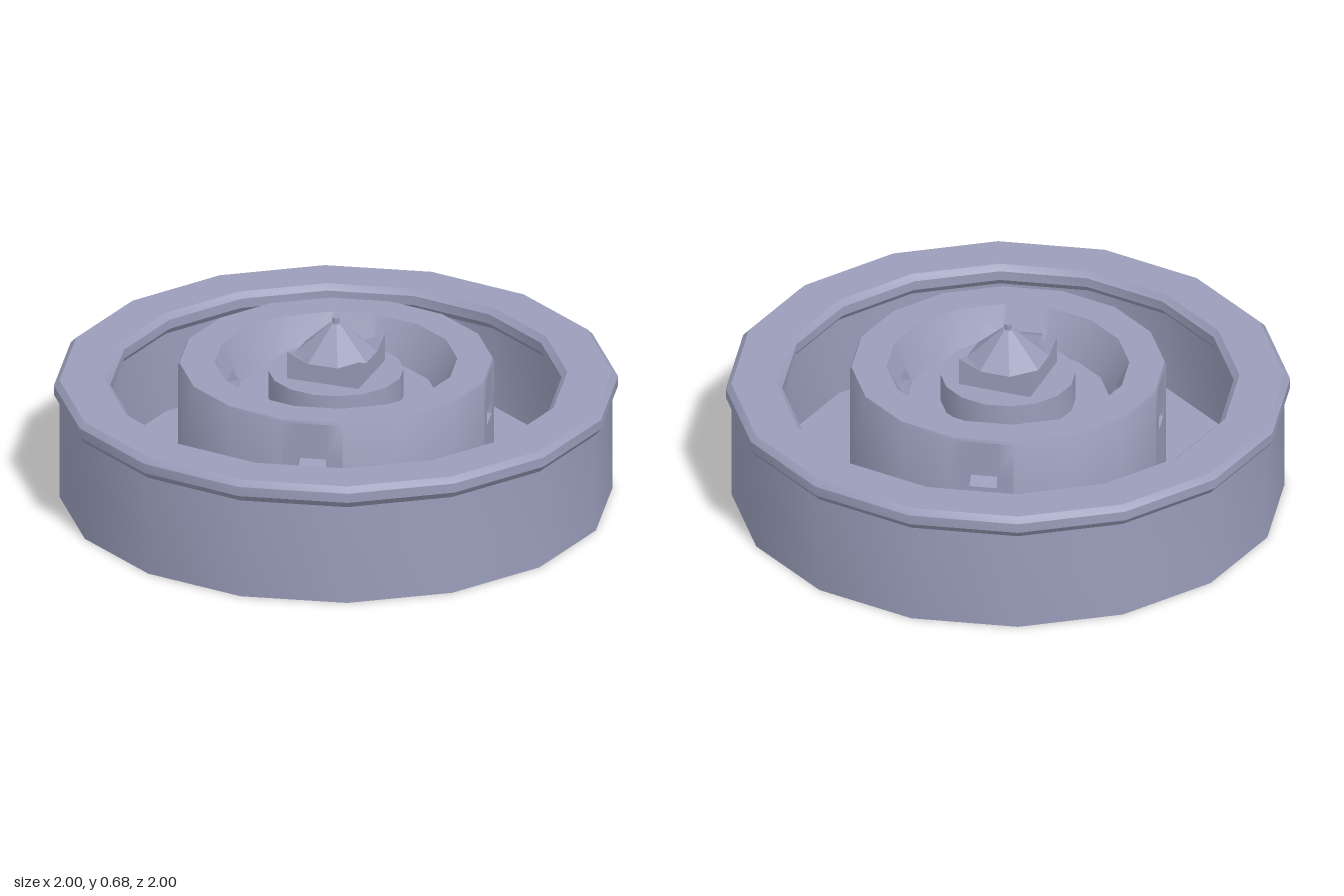
import * as THREE from 'three';
import { toCreasedNormals } from 'three/addons/utils/BufferGeometryUtils.js';

const SIDES = 16;
const stone = new THREE.MeshStandardMaterial({ color: 0x9a9dba });
stone.name = 'stone';

function add(group, name, geometry, y = 0) {
  const mesh = new THREE.Mesh(geometry, stone);
  mesh.name = name;
  mesh.position.y = y;
  group.add(mesh);
  return mesh;
}

function fromTriangles(list) {
  const geometry = new THREE.BufferGeometry().setFromPoints(list);
  geometry.computeVertexNormals();
  return geometry;
}

// Lathe with sharp profile edges and softly shaded sides
function lathe(profile) {
  const points = profile.map(([r, y]) => new THREE.Vector2(r, y));
  return toCreasedNormals(new THREE.LatheGeometry(points, SIDES), 0.6);
}

// Inner ring: lathed panel by panel, with four sloping spouts cut through it
function ringGeometry() {
  const profile = [[0.56, 0.07], [0.56, 0.5], [0.555, 0.51], [0.43, 0.51], [0.36, 0.37], [0.2, 0.37]];
  const openings = {
    0: { u: [0.27, 0.73], v: [0.58, 0.69] },  // outer wall
    3: { u: [0.1, 0.9], v: [0.6, 0.89] },     // bowl slope
  };
  const tris = [];
  const quad = (a, b, c, d) => tris.push(a, b, c, a, c, d);
  const at = ([r, y], i) => {
    const a = (i / SIDES) * Math.PI * 2;
    return new THREE.Vector3(r * Math.sin(a), y, r * Math.cos(a));
  };

  for (let i = 0; i < SIDES; i++) {
    const point = (s, u, v) => {
      const low = at(profile[s], i).lerp(at(profile[s], i + 1), u);
      const high = at(profile[s + 1], i).lerp(at(profile[s + 1], i + 1), u);
      return low.lerp(high, v);
    };
    for (let s = 0; s < profile.length - 1; s++) {
      const hole = i % 4 === 0 && openings[s];
      const us = hole ? [0, ...hole.u, 1] : [0, 1];
      const vs = hole ? [0, ...hole.v, 1] : [0, 1];
      for (let j = 0; j < us.length - 1; j++) {
        for (let k = 0; k < vs.length - 1; k++) {
          if (hole && j === 1 && k === 1) continue;
          quad(point(s, us[j], vs[k]), point(s, us[j + 1], vs[k]),
            point(s, us[j + 1], vs[k + 1]), point(s, us[j], vs[k + 1]));
        }
      }
    }
    // Spout tunnel joining the two openings
    if (i % 4 === 0) {
      const corners = (s, lo, hi) => {
        const [u0, u1] = openings[s].u;
        return [point(s, u0, lo), point(s, u1, lo), point(s, u1, hi), point(s, u0, hi)];
      };
      const outer = corners(0, 0.58, 0.69);
      const inner = corners(3, 0.89, 0.6);
      for (let k = 0; k < 4; k++) {
        const n = (k + 1) % 4;
        quad(outer[k], outer[n], inner[n], inner[k]);
      }
    }
  }
  return toCreasedNormals(fromTriangles(tris), 0.6);
}

export function createModel() {
  const fountain = new THREE.Group();
  fountain.name = 'fountain';

  // Outer basin with a bevelled, overhanging rim
  add(fountain, 'basin', lathe([
    [0, 0], [0.98, 0], [0.98, 0.37], [1, 0.395], [1, 0.43], [0.98, 0.45],
    [0.82, 0.45], [0.8, 0.43], [0.8, 0.395], [0.82, 0.37], [0.82, 0.07], [0, 0.07],
  ]));

  add(fountain, 'innerRing', ringGeometry());

  // Round pedestal in the upper bowl
  add(fountain, 'pedestal', lathe([[0.24, 0.36], [0.24, 0.475], [0, 0.475]]));

  // Square block with raised corners
  const half = 0.135, notch = 0.056, dip = 0.542, peak = 0.577;
  const side = new THREE.Shape([
    [-half, 0.47], [half, 0.47], [half, peak], [notch, dip], [-notch, dip], [-half, peak],
  ].map(([x, y]) => new THREE.Vector2(x, y)));
  const sideGeometry = new THREE.ShapeGeometry(side).translate(0, 0, half);
  const cornerGeometry = fromTriangles([
    new THREE.Vector3(half, peak, half),
    new THREE.Vector3(half, dip, notch),
    new THREE.Vector3(notch, dip, half),
  ]);
  const block = new THREE.Group();
  block.name = 'block';
  fountain.add(block);
  for (let i = 0; i < 4; i++) {
    add(block, 'blockSide', sideGeometry).rotation.y = (i * Math.PI) / 2;
    add(block, 'blockCorner', cornerGeometry).rotation.y = (i * Math.PI) / 2;
  }

  // Eight-sided roof and nozzle
  const roof = new THREE.CylinderGeometry(0.02, half / Math.cos(Math.PI / 8), 0.113, 8);
  roof.rotateY(Math.PI / 8);
  add(fountain, 'roof', toCreasedNormals(roof, 0.1), dip + 0.0565);
  add(fountain, 'nozzle', new THREE.CylinderGeometry(0.013, 0.013, 0.04, 8), 0.657);

  return fountain;
}
